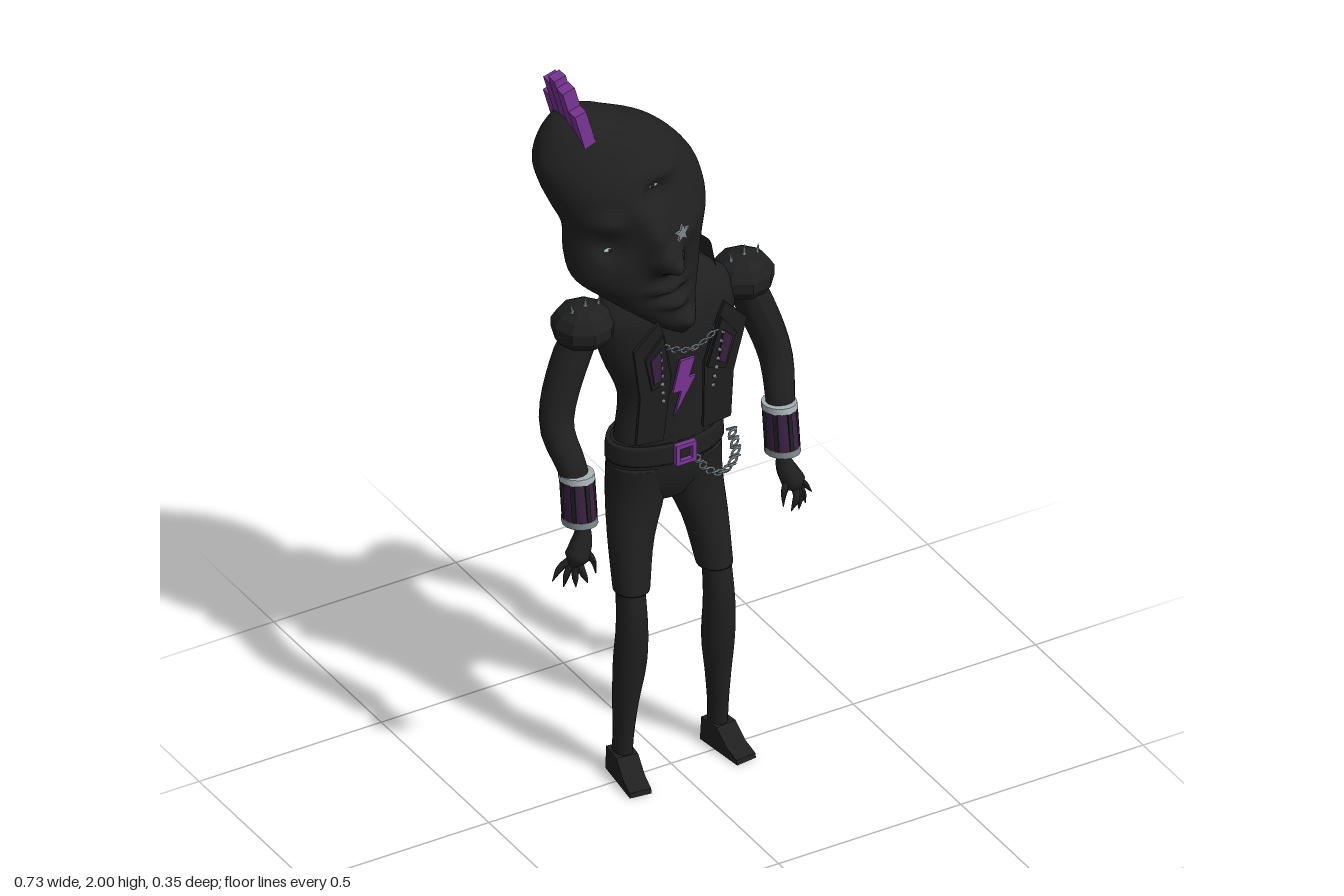
import * as THREE from 'three';

const mat = (name, color, side = THREE.FrontSide) => {
  const m = new THREE.MeshStandardMaterial({ color, side });
  m.name = name;
  return m;
};
const V = (x, y, z) => new THREE.Vector3(x, y, z);
const CX = 0.0125; // body centre line

export function createModel() {
  const black = mat('black', 0x202020, THREE.DoubleSide);
  const purple = mat('purple', 0x7a3596);
  const darkPurple = mat('dark purple', 0x3a2244);
  const metal = mat('metal', 0x7d868a);
  const pale = mat('pale silver', 0xaab4b8);
  const model = new THREE.Group();

  const add = (name, geo, material, x = 0, y = 0, z = 0, parent = model) => {
    const m = new THREE.Mesh(geo, material);
    m.name = name;
    m.position.set(x, y, z);
    parent.add(m);
    return m;
  };

  // Smooth interpolation of section rows [y, xLeft, xRight, zBack, zFront]
  const sections = rows => {
    const f = new THREE.CubicInterpolant(rows.map(r => r[0]), rows.flatMap(r => r.slice(1)), 4);
    return y => {
      const [a, b, c, d] = f.evaluate(y);
      return { cx: (a + b) / 2, rx: Math.abs(b - a) / 2, cz: (c + d) / 2, rz: Math.abs(d - c) / 2 };
    };
  };

  // Elliptical cross-sections stacked along y, with end caps
  const loft = (rows, steps, n, bump = () => 0) => {
    const at = sections(rows), y0 = rows[0][0], y1 = rows[rows.length - 1][0];
    const pos = [], idx = [];
    for (let i = 0; i <= steps; i++) {
      const y = y0 + (y1 - y0) * (1 - Math.cos(Math.PI * i / steps)) / 2;
      const s = at(y);
      for (let j = 0; j < n; j++) {
        const t = j / n * Math.PI * 2, x = s.cx + s.rx * Math.cos(t), k = Math.sin(t);
        pos.push(x, y, s.cz + s.rz * k + (k > 0 ? Math.min(1, k * 2.5) * bump(x, y) : 0));
      }
    }
    for (let i = 0; i < steps; i++) for (let j = 0; j < n; j++) {
      const a = i * n + j, b = i * n + (j + 1) % n;
      idx.push(a, a + n, b, b, a + n, b + n);
    }
    for (const [y, base, up] of [[y0, 0, false], [y1, steps * n, true]]) {
      const s = at(y), c = pos.length / 3;
      pos.push(s.cx, y, s.cz);
      for (let j = 0; j < n; j++) {
        const p = base + j, q = base + (j + 1) % n;
        idx.push(c, up ? q : p, up ? p : q);
      }
    }
    const g = new THREE.BufferGeometry();
    g.setAttribute('position', new THREE.Float32BufferAttribute(pos, 3));
    g.setIndex(idx);
    g.computeVertexNormals();
    return g;
  };

  // Tube whose radius varies along its path
  const limb = (pts, radii, n = 10) => {
    const curve = new THREE.CatmullRomCurve3(pts), seg = 16;
    const g = new THREE.TubeGeometry(curve, seg, 1, n), p = g.attributes.position, v = V();
    for (let i = 0; i < p.count; i++) {
      const u = Math.floor(i / (n + 1)) / seg, f = u * (radii.length - 1), k = Math.min(Math.floor(f), radii.length - 2);
      const c = curve.getPointAt(u), r = THREE.MathUtils.lerp(radii[k], radii[k + 1], f - k);
      v.fromBufferAttribute(p, i).sub(c).multiplyScalar(r).add(c);
      p.setXYZ(i, v.x, v.y, v.z);
    }
    g.computeVertexNormals();
    return g;
  };

  const plate = (pts, depth, hole) => {
    const s = new THREE.Shape(pts.map(p => new THREE.Vector2(...p)));
    if (hole) s.holes.push(new THREE.Path(hole.map(p => new THREE.Vector2(...p))));
    return new THREE.ExtrudeGeometry(s, { depth, bevelEnabled: false });
  };

  // Row of alternating links along a curve
  const chain = (name, pts, count, r) => {
    const curve = new THREE.CatmullRomCurve3(pts), g = new THREE.Group();
    g.name = name;
    for (let i = 0; i < count; i++) {
      const p = curve.getPointAt(i / (count - 1)), t = curve.getTangentAt(i / (count - 1));
      const link = add('link', new THREE.TorusGeometry(r, r * 0.32, 5, 10), metal, p.x, p.y, p.z, g);
      link.rotation.set(i % 2 ? 1.0 : 0.2, 0, Math.atan2(t.y, t.x));
      link.scale.x = 1.35;
    }
    model.add(g);
  };

  // Tilted head with sculpted face
  const headRows = [
    [1.255, -0.015, 0.02, 0.02, 0.06], [1.28, -0.055, 0.032, 0.0, 0.075], [1.32, -0.11, 0.045, -0.04, 0.08],
    [1.38, -0.185, 0.066, -0.095, 0.08], [1.44, -0.25, 0.08, -0.13, 0.085], [1.5, -0.265, 0.09, -0.15, 0.088],
    [1.58, -0.265, 0.105, -0.167, 0.085], [1.65, -0.295, 0.098, -0.178, 0.072], [1.7, -0.315, 0.078, -0.183, 0.06],
    [1.76, -0.328, 0.03, -0.181, 0.035], [1.8, -0.318, -0.02, -0.173, 0.015], [1.84, -0.295, -0.1, -0.152, -0.012],
    [1.865, -0.268, -0.155, -0.13, -0.04], [1.878, -0.235, -0.205, -0.1, -0.075]];
  // nose, bridge, sockets, brows, cheeks, lips, chin: [x, y, rx, ry, height]
  const features = [
    [-0.065, 1.505, 0.034, 0.032, 0.08], [-0.095, 1.57, 0.03, 0.05, 0.038], [-0.128, 1.645, 0.028, 0.05, 0.024],
    [-0.08, 1.672, 0.04, 0.026, -0.026], [-0.195, 1.55, 0.03, 0.034, -0.026],
    [-0.05, 1.725, 0.06, 0.02, 0.016], [-0.205, 1.62, 0.035, 0.025, 0.014], [0.0, 1.56, 0.045, 0.04, 0.014],
    [-0.06, 1.415, 0.045, 0.014, 0.024], [-0.045, 1.39, 0.045, 0.008, -0.014], [-0.035, 1.365, 0.035, 0.014, 0.026],
    [0.0, 1.305, 0.03, 0.026, 0.026]];
  const bump = (x, y) => features.reduce((z, [fx, fy, rx, ry, h]) =>
    z + h * Math.exp(-(((x - fx) / rx) ** 2) - ((y - fy) / ry) ** 2), 0);
  add('head', loft(headRows, 80, 64, bump), black);
  const headAt = sections(headRows);
  const faceZ = (x, y) => {
    const s = headAt(y);
    return s.cz + s.rz * Math.sqrt(Math.max(0, 1 - ((x - s.cx) / s.rx) ** 2)) + bump(x, y);
  };

  for (const [x, y] of [[-0.08, 1.69], [-0.193, 1.54]]) {
    const eye = add('eye', new THREE.SphereGeometry(0.014, 12, 8), pale, x, y, faceZ(x, y));
    eye.scale.set(1.1, 0.4, 0.35);
    const pupil = add('pupil', new THREE.SphereGeometry(0.005, 8, 6), black, x, y, faceZ(x, y) + 0.004);
    pupil.scale.z = 0.5;
  }
  // Star on the cheek
  const star = Array.from({ length: 10 }, (_, i) => {
    const r = i % 2 ? 0.012 : 0.027, a = i * Math.PI / 5;
    return [r * Math.sin(a), r * Math.cos(a)];
  });
  add('cheekStar', plate(star, 0.006), metal, -0.028, 1.566, faceZ(-0.028, 1.566) + 0.002).rotation.y = 0.35;

  // Crest of leaning bars
  [[-0.017, 1.92], [-0.047, 1.975], [-0.078, 1.995], [-0.108, 1.975], [-0.139, 1.915]].forEach(([z, top], i) => {
    const h = top - 1.815;
    const bar = add('crestBar', new THREE.BoxGeometry(0.034, h, 0.03), purple, -0.218 - h * 0.14, 1.815 + h / 2, z);
    bar.rotation.z = 0.27;
    bar.scale.x = i % 2 ? 1 : 0.94;
  });

  // Neck, jacket body, collar
  add('neck', loft([[1.24, -0.06, 0.09, -0.1, 0.02], [1.34, -0.06, 0.08, -0.1, 0.02], [1.46, -0.07, 0.06, -0.1, 0.02]], 6, 20), black);
  add('jacket', loft([
    [0.92, -0.125, 0.155, -0.125, 0.03], [1.05, -0.112, 0.152, -0.13, 0.03], [1.15, -0.15, 0.175, -0.143, 0.038],
    [1.22, -0.17, 0.198, -0.15, 0.04], [1.3, -0.17, 0.195, -0.145, 0.03], [1.36, -0.1, 0.13, -0.135, 0.0],
    [1.39, -0.06, 0.1, -0.125, -0.03]], 28, 32), black);
  const collar = add('collar', new THREE.CylinderGeometry(0.095, 0.125, 0.1, 24, 1, true, Math.PI * 0.42, Math.PI * 1.16), black, 0.035, 1.37, -0.055);
  collar.scale.z = 0.75;
  collar.rotation.z = -0.12;

  // Open jacket fronts with lapels and studs
  const fronts = new THREE.Group();
  fronts.name = 'jacketFronts';
  fronts.position.set(CX, 0.95, 0.028);
  fronts.rotation.x = 0.11;
  model.add(fronts);
  for (const s of [-1, 1]) {
    const flip = pts => pts.map(([x, y]) => [x * s, y]);
    add('frontPanel', plate(flip([[0.055, 0], [0.13, 0.01], [0.128, 0.15], [0.155, 0.3], [0.09, 0.37], [0.075, 0.33], [0.045, 0.2]]), 0.009), black, 0, 0, 0, fronts);
    add('lapel', plate(flip([[0.05, 0.19], [0.1, 0.17], [0.125, 0.27], [0.08, 0.33]]), 0.008), black, 0, 0, 0.008, fronts);
    add('lapelInset', plate(flip([[0.078, 0.2], [0.098, 0.19], [0.112, 0.265], [0.085, 0.295]]), 0.006), darkPurple, 0, 0, 0.014, fronts);
    for (let i = 0; i < 7; i++) {
      const stud = add('stud', new THREE.ConeGeometry(0.006, 0.012, 6), metal, s * (0.068 + i * 0.003), 0.13 + i * 0.026, 0.022, fronts);
      stud.rotation.x = Math.PI / 2;
    }
  }
  const bolt = add('bolt', plate([[-0.012, 0.16], [0.028, 0.16], [0.014, 0.105], [0.033, 0.105], [-0.022, 0], [-0.006, 0.07], [-0.03, 0.07]], 0.007), purple, 0.008, 1.01, 0.034);
  bolt.rotation.x = 0.07;
  chain('necklace', [V(-0.095, 1.265, 0.055), V(-0.05, 1.232, 0.07), V(0.01, 1.215, 0.078), V(0.07, 1.232, 0.07), V(0.12, 1.265, 0.05)], 20, 0.008);

  // Hips, belt, buckle
  add('hips', loft([[0.75, -0.06, 0.085, -0.1, -0.005], [0.8, -0.125, 0.15, -0.125, 0.015], [0.88, -0.135, 0.162, -0.14, 0.028], [0.93, -0.13, 0.158, -0.13, 0.03]], 12, 28), black);
  add('belt', loft([[0.875, -0.142, 0.168, -0.148, 0.04], [0.9, -0.142, 0.168, -0.148, 0.04], [0.927, -0.138, 0.164, -0.145, 0.04]], 4, 28), black);
  add('beltLoop', new THREE.BoxGeometry(0.05, 0.035, 0.02), black, CX, 0.902, -0.15);
  const square = r => [[-r, -r], [r, -r], [r, r], [-r, r]];
  add('buckle', plate(square(0.028), 0.014, square(0.017)), purple, CX, 0.902, 0.038);
  chain('beltChain', [V(0.045, 0.875, 0.045), V(0.07, 0.84, 0.058), V(0.11, 0.825, 0.06), V(0.15, 0.85, 0.045), V(0.172, 0.885, -0.01)], 18, 0.009);

  for (const s of [-1, 1]) {
    const side = s > 0 ? 'left' : 'right';
    const zo = s > 0 ? 0 : 0.02;
    const P = (x, y, z) => V(CX + s * x, y, z);
    const rows = list => list.map(([y, a, b, zb, zf]) => [y, CX + Math.min(s * a, s * b), CX + Math.max(s * a, s * b), zb, zf]);

    // Trouser leg, lower leg, shoe
    add(side + 'TrouserLeg', loft(rows([[0.525, 0.07, 0.158, -0.06, 0.034], [0.65, 0.046, 0.158, -0.092, 0.02],
      [0.76, 0.006, 0.153, -0.122, 0.012], [0.86, 0.0, 0.148, -0.13, 0.02]]), 14, 20), black);
    add(side + 'LowerLeg', loft(rows([[0.03, 0.106, 0.156, -0.058, 0.0], [0.1, 0.107, 0.153, -0.054, 0.006], [0.2, 0.097, 0.157, -0.053, 0.016],
      [0.32, 0.08, 0.162, -0.048, 0.033], [0.42, 0.082, 0.157, -0.042, 0.042], [0.54, 0.084, 0.152, -0.05, 0.028]]), 20, 18), black);
    const shoe = plate([[-0.06, 0], [0.085, 0], [0.082, 0.012], [0.045, 0.028], [0.005, 0.065], [-0.055, 0.065]], 0.056);
    shoe.rotateY(-Math.PI / 2).translate(0.028, 0, 0);
    add(side + 'Shoe', shoe, black, CX + s * 0.135, 0, 0).rotation.y = s * 0.12;

    // Puffed shoulder with spikes
    const puff = new THREE.SphereGeometry(0.08, 9, 7).toNonIndexed();
    puff.computeVertexNormals();
    const shoulder = add(side + 'Shoulder', puff, black, CX + s * 0.218, 1.278, -0.06);
    shoulder.scale.set(1, 0.75, 1);
    for (const d of [-0.036, 0, 0.036]) {
      const spike = add('shoulderSpike', new THREE.ConeGeometry(0.009, 0.045, 6), metal, CX + s * 0.218 + d, 1.342 - Math.abs(d) * 0.25, -0.05);
      spike.rotation.z = -d * 4;
    }

    // Arm and studded cuff
    add(side + 'Arm', limb([P(0.2, 1.29, -0.06), P(0.25, 1.19, -0.065), P(0.3, 1.03, -0.045), P(0.29, 0.93, -0.005 + zo), P(0.283, 0.8, 0.012 + zo)],
      [0.04, 0.046, 0.044, 0.04, 0.034, 0.03], 14), black);
    const cuff = new THREE.Group();
    cuff.name = side + 'Cuff';
    cuff.position.copy(P(0.284, 0.862, 0.008 + zo));
    cuff.rotation.x = -0.12;
    cuff.scale.z = 1.2;
    model.add(cuff);
    add('cuffBand', new THREE.CylinderGeometry(0.037, 0.04, 0.115, 14), darkPurple, 0, 0, 0, cuff);
    for (const y of [-0.058, 0.058]) add('cuffRim', new THREE.CylinderGeometry(0.041, 0.042, 0.016, 14), y > 0 ? pale : metal, 0, y, 0, cuff);
    for (let i = 0; i < 7; i++) {
      const a = i / 7 * Math.PI * 2;
      add('cuffStrip', new THREE.BoxGeometry(0.01, 0.1, 0.006), black, Math.sin(a) * 0.038, 0, Math.cos(a) * 0.038, cuff).rotation.y = a;
    }

    // Hand with spread fingers
    add(side + 'Hand', limb([P(0.282, 0.82, 0.02 + zo), P(0.283, 0.765, 0.028 + zo), P(0.3, 0.72, 0.034 + zo), P(0.32, 0.68, 0.036 + zo)],
      [0.02, 0.018, 0.026, 0.03, 0.004], 10), black);
    for (const [x, y, z] of [[0.362, 0.655, 0.02], [0.338, 0.638, 0.032], [0.312, 0.636, 0.045], [0.285, 0.645, 0.055]]) {
      add('finger', limb([P(0.303, 0.715, 0.034 + zo), P((0.315 + x) / 2, (0.72 + y) / 2, z + zo), P(x, y, z + zo)], [0.012, 0.01, 0.008, 0.001], 7), black);
    }
    add('thumb', limb([P(0.293, 0.74, 0.034 + zo), P(0.268, 0.7, 0.05 + zo), P(0.263, 0.665, 0.055 + zo)], [0.011, 0.009, 0.001], 7), black);
  }
  return model;
}
